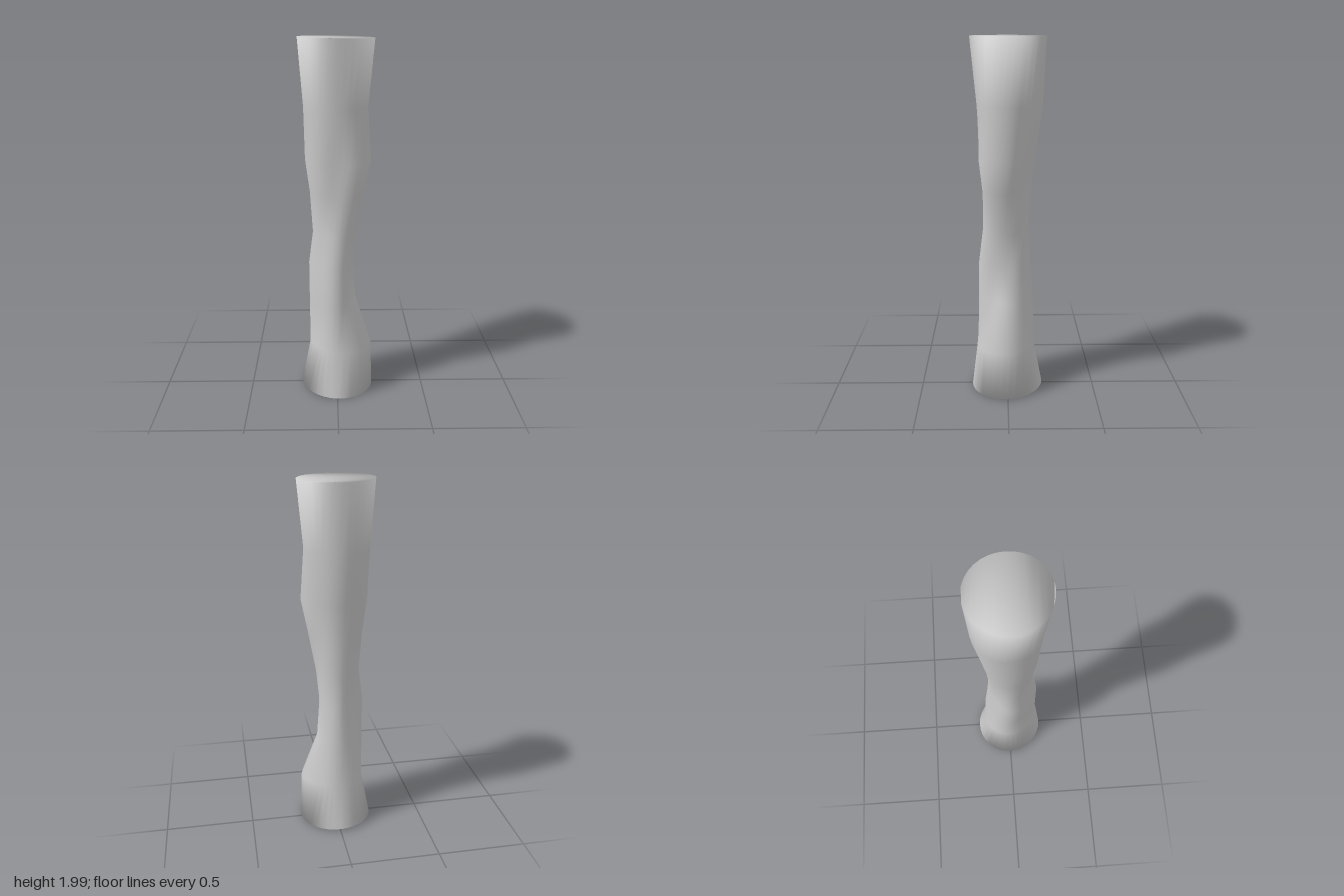
import * as THREE from 'three';

const SIDES = 32;

// Each level: height, then radii towards
// +z, +x+z, +x, +x-z, -z, -x-z, -x, -x+z
const LEVELS = [
  [0.015, 0.205, 0.205, 0.205, 0.20, 0.20, 0.205, 0.205, 0.20],
  [0.28, 0.17, 0.195, 0.195, 0.155, 0.15, 0.157, 0.155, 0.147],
  [0.55, 0.163, 0.108, 0.105, 0.12, 0.145, 0.137, 0.157, 0.147],
  [0.77, 0.16, 0.105, 0.088, 0.108, 0.125, 0.11, 0.158, 0.15],
  [0.95, 0.138, 0.117, 0.105, 0.112, 0.115, 0.117, 0.135, 0.125],
  [1.18, 0.132, 0.163, 0.143, 0.12, 0.128, 0.14, 0.15, 0.15],
  [1.36, 0.15, 0.19, 0.18, 0.147, 0.15, 0.163, 0.174, 0.17],
  [1.64, 0.165, 0.168, 0.165, 0.168, 0.188, 0.19, 0.18, 0.177],
  [1.997, 0.20, 0.20, 0.197, 0.20, 0.205, 0.205, 0.208, 0.20],
];

// Smooth periodic interpolation of the eight radii
function radiusAt(radii, t) {
  const n = radii.length, i = Math.floor(t), f = t - i;
  const [a, b, c, d] = [-1, 0, 1, 2].map((k) => radii[(i + k + n) % n]);
  return b + 0.5 * f * (c - a + f * (2 * a - 5 * b + 4 * c - d + f * (3 * (b - c) + d - a)));
}

// Flat cap made of strips across the rim, so the rim normals stay shared
function capIndices(start, up) {
  const out = [];
  const tri = (a, b, c) => out.push(start + a, start + (up ? b : c), start + (up ? c : b));
  for (let i = 0; i < SIDES / 2; i++) {
    const j = (SIDES - i) % SIDES, l = i + 1, m = SIDES - i - 1;
    if (l !== m) tri(i, l, m);
    if (i > 0) tri(i, m, j);
  }
  return out;
}

function columnGeometry() {
  const positions = [], indices = [];
  LEVELS.forEach(([height, ...radii], level) => {
    for (let s = 0; s < SIDES; s++) {
      const angle = (s / SIDES) * Math.PI * 2;
      const r = radiusAt(radii, (s / SIDES) * radii.length);
      const x = r * Math.sin(angle), z = r * Math.cos(angle);
      // the foot is cut slightly askew
      const y = level === 0 ? Math.max(0, height - 0.025 * x - 0.035 * z)
        : level === LEVELS.length - 1 ? height - 0.015 * x : height;
      positions.push(x, y, z);
      if (level > 0) {
        const n = (s + 1) % SIDES, hi = level * SIDES, lo = hi - SIDES;
        indices.push(lo + s, lo + n, hi + n, lo + s, hi + n, hi + s);
      }
    }
  });
  indices.push(...capIndices(0, false), ...capIndices((LEVELS.length - 1) * SIDES, true));
  const geometry = new THREE.BufferGeometry();
  geometry.setAttribute('position', new THREE.Float32BufferAttribute(positions, 3));
  geometry.setIndex(indices);
  geometry.computeVertexNormals();
  return geometry;
}

export function createModel() {
  const group = new THREE.Group();
  group.name = 'wornColumn';
  // Irregular eroded shaft with flared foot and top
  const column = new THREE.Mesh(columnGeometry(), new THREE.MeshStandardMaterial({ color: 0xcccccc }));
  column.name = 'columnShaft';
  group.add(column);
  return group;
}
